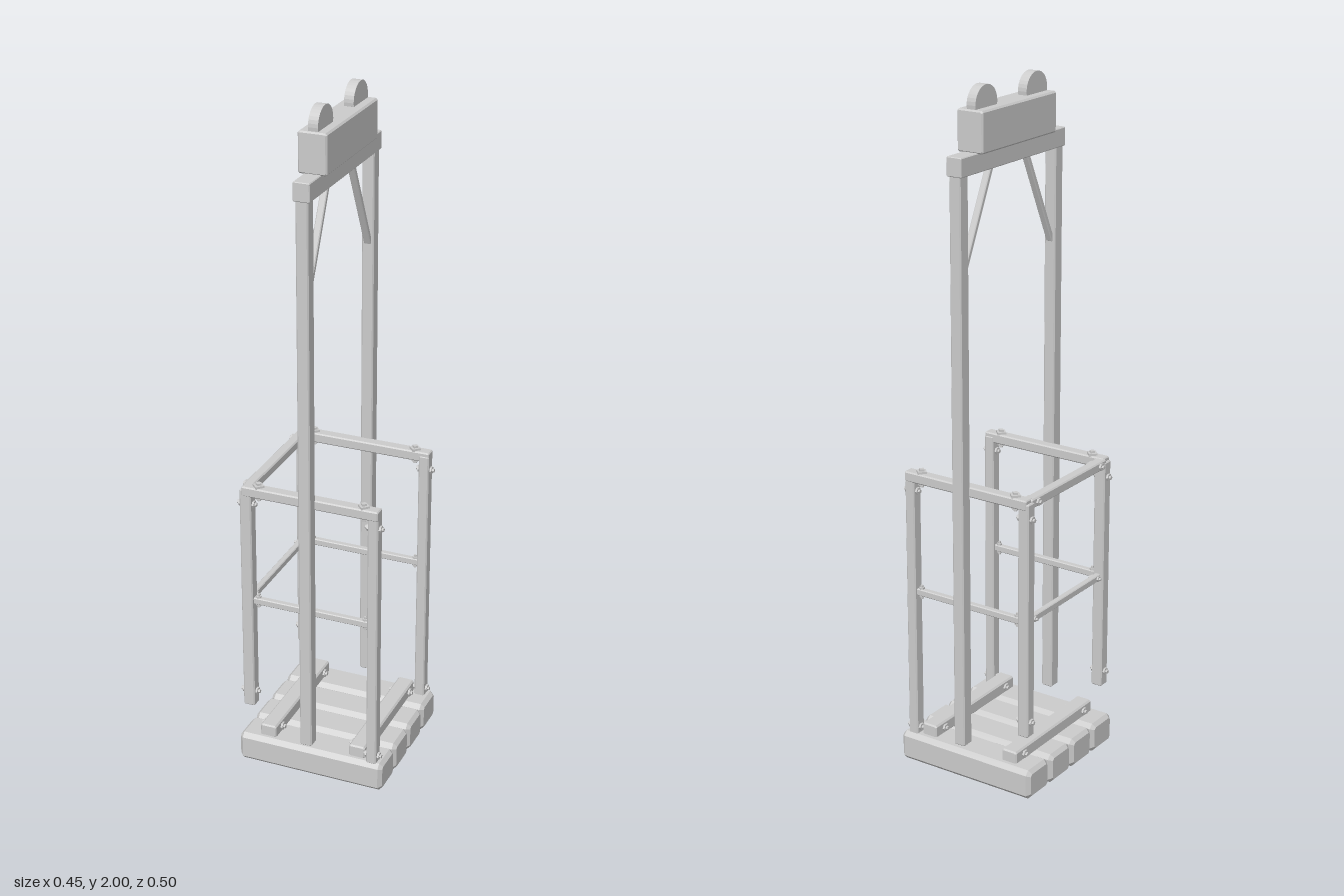
import * as THREE from 'three';

const material = new THREE.MeshStandardMaterial({ color: 0xcccccc, flatShading: true });

// Box with all edges chamfered by c, extruded along its z
function beamGeometry(w, h, d, c) {
  const a = w / 2 - c, b = h / 2 - c, k = c * 0.6;
  const outline = [[a - k, -b], [a, k - b], [a, b - k], [a - k, b], [k - a, b], [-a, b - k], [-a, k - b], [k - a, -b]];
  const shape = new THREE.Shape(outline.map(([x, y]) => new THREE.Vector2(x, y)));
  const geometry = new THREE.ExtrudeGeometry(shape, {
    depth: d - 2 * c, bevelEnabled: true, bevelSize: c, bevelThickness: c, bevelSegments: 1,
  });
  return geometry.translate(0, 0, c - d / 2);
}

export function createModel() {
  const model = new THREE.Group();

  function add(name, geometry, x = 0, y = 0, z = 0) {
    const mesh = new THREE.Mesh(geometry, material);
    mesh.name = name;
    mesh.position.set(x, y, z);
    model.add(mesh);
    return mesh;
  }

  // Chamfered member given by its extents on each axis
  function beam(name, [x0, x1], [y0, y1], [z0, z1], c = 0.003) {
    const w = x1 - x0, h = y1 - y0, d = z1 - z0;
    let geometry;
    if (w >= h && w >= d) geometry = beamGeometry(d, h, w, c).rotateY(Math.PI / 2);
    else if (h >= d) geometry = beamGeometry(w, d, h, c).rotateX(Math.PI / 2);
    else geometry = beamGeometry(w, h, d, c);
    add(name, geometry, (x0 + x1) / 2, (y0 + y1) / 2, (z0 + z1) / 2);
  }

  // Nut with a smaller bolt end, pointing along the given axis
  function bolt(axis, x, y, z, size = 0.011, sides = 6) {
    const group = new THREE.Group();
    group.name = 'bolt';
    const nut = new THREE.Mesh(new THREE.CylinderGeometry(size, size, 0.008, sides), material);
    const end = new THREE.Mesh(new THREE.CylinderGeometry(size * 0.5, size * 0.5, 0.014, sides), material);
    nut.name = 'nut';
    end.name = 'boltEnd';
    end.position.y = 0.003;
    group.add(nut, end);
    group.position.set(x, y, z);
    group.quaternion.setFromUnitVectors(new THREE.Vector3(0, 1, 0), new THREE.Vector3(...axis));
    model.add(group);
  }

  // Floor planks
  for (const z of [-0.171, -0.057, 0.056, 0.168]) {
    beam('floorPlank', [-0.225, 0.225], [0, 0.09], [z - 0.0535, z + 0.0535], 0.011);
  }

  // Cleats across the floor, with bolts on both faces
  for (const x of [-0.14, 0.14]) {
    beam('floorCleat', [x - 0.025, x + 0.025], [0.085, 0.125], [-0.2, 0.2], 0.004);
    for (const z of [-0.157, 0.157]) {
      for (const s of [-1, 1]) bolt([s, 0, 0], x + s * 0.027, 0.105, z, 0.012);
    }
  }

  for (const s of [-1, 1]) {
    const span = (a, b) => (s > 0 ? [a, b] : [-b, -a]);

    // Tall hanger post, diagonal brace and pulley wheel
    beam('hangerPost', [-0.018, 0.018], [0.12, 1.78], span(0.208, 0.246));
    const top = new THREE.Vector3(0, 1.785, s * 0.082);
    const foot = new THREE.Vector3(0, 1.51, s * 0.212);
    const brace = add('diagonalBrace', beamGeometry(0.02, 0.014, top.distanceTo(foot), 0.002));
    brace.position.addVectors(top, foot).multiplyScalar(0.5);
    brace.lookAt(top);
    add('pulleyWheel', new THREE.CylinderGeometry(0.05, 0.05, 0.028, 32).rotateZ(Math.PI / 2), 0, 1.95, s * 0.119);

    // Guard rail posts: long at the open side, short at the closed side
    beam('longRailPost', [0.174, 0.205], [0.085, 0.895], span(0.178, 0.212));
    beam('shortRailPost', [-0.212, -0.177], [0.19, 0.895], span(0.178, 0.212));

    // Side rails
    beam('topSideRail', [-0.205, 0.205], [0.876, 0.906], span(0.18, 0.214));
    beam('middleSideRail', [-0.185, 0.185], [0.53, 0.55], span(0.186, 0.204), 0.002);

    // Bolts of the top rails and posts
    for (const x of [-0.159, 0.157]) {
      bolt([0, 1, 0], x, 0.908, s * 0.196, 0.018, 4);
      bolt([0, -1, 0], x, 0.873, s * 0.196);
    }
    for (const y of [0.848, 0.108]) {
      bolt([1, 0, 0], 0.207, y, s * 0.196);
      bolt([-1, 0, 0], 0.172, y, s * 0.196);
    }
    for (const y of [0.848, 0.235]) {
      bolt([-1, 0, 0], -0.214, y, s * 0.196);
      bolt([1, 0, 0], -0.175, y, s * 0.196);
    }
    bolt([-1, 0, 0], -0.212, 0.89, s * 0.16);
    bolt([1, 0, 0], -0.178, 0.89, s * 0.16);

    // Bolts of the middle rails
    for (const x of [-0.165, 0.163]) {
      bolt([0, 1, 0], x, 0.551, s * 0.195, 0.008);
      bolt([0, -1, 0], x, 0.529, s * 0.195, 0.008);
    }
    bolt([-1, 0, 0], -0.204, 0.54, s * 0.165, 0.008);
    bolt([1, 0, 0], -0.184, 0.54, s * 0.165, 0.008);
  }

  // End rails on the closed side
  beam('topEndRail', [-0.21, -0.18], [0.876, 0.904], [-0.19, 0.19]);
  beam('middleEndRail', [-0.203, -0.185], [0.53, 0.55], [-0.19, 0.19], 0.002);

  // Crossbeam and pulley housing
  beam('crossbeam', [-0.024, 0.024], [1.775, 1.828], [-0.248, 0.248], 0.002);
  beam('pulleyHousing', [-0.041, 0.041], [1.826, 1.94], [-0.176, 0.176], 0.004);

  return model;
}
